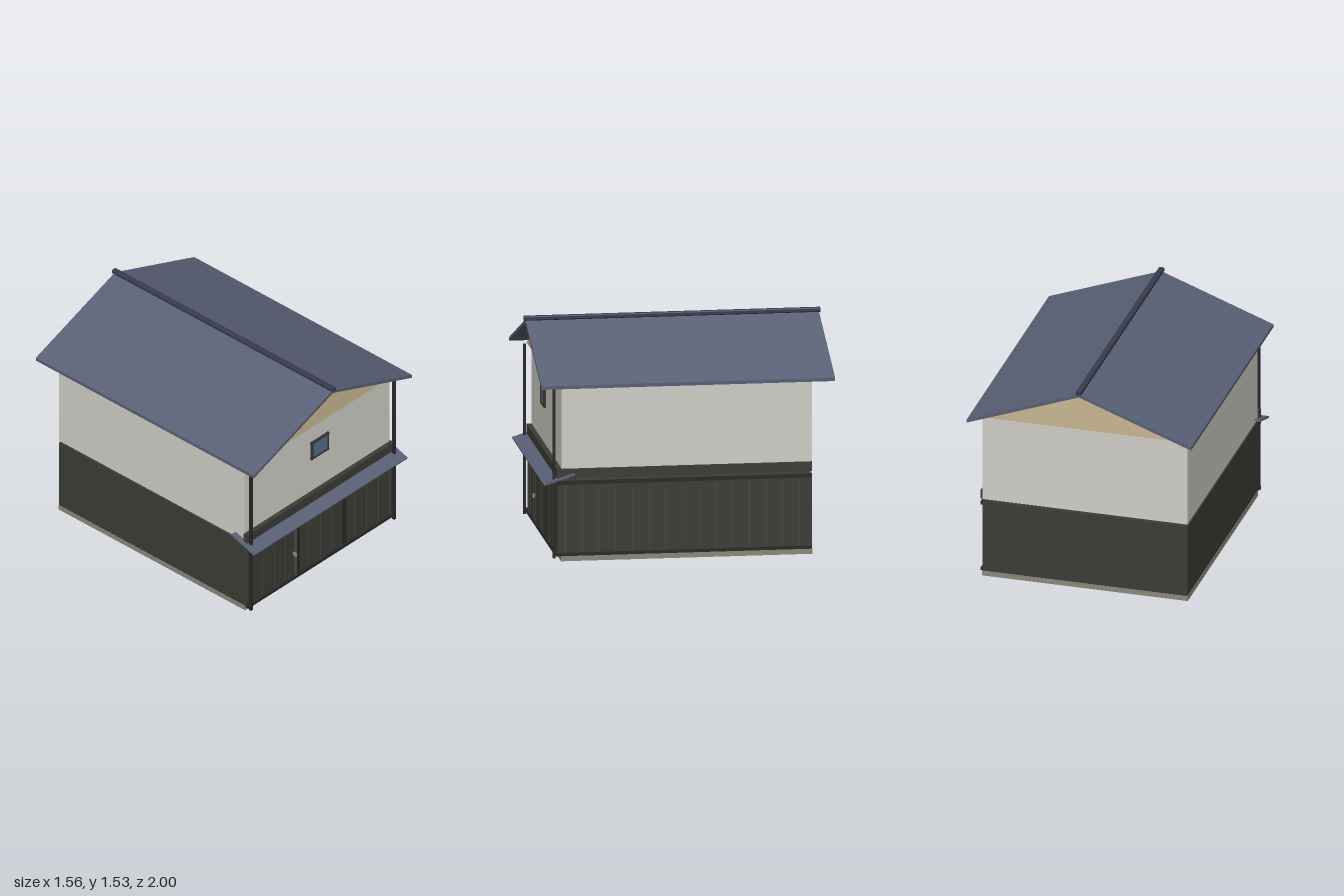
import * as THREE from 'three';

const mat = (color) => new THREE.MeshStandardMaterial({ color });
const M = {
  wall: mat(0xcfcec7), dark: mat(0x3b3c36), trim: mat(0x2a2826), seam: mat(0x57493a),
  roof: mat(0x596074), cap: mat(0x373b4c), gable: mat(0xc9b792), base: mat(0x8b877b),
  glass: mat(0x4d6f92), frame: mat(0x40302c), metal: mat(0x8a8a86),
};

// Box given by its low and high bounds on each axis
function box(parent, name, m, [x0, x1], [y0, y1], [z0, z1]) {
  const mesh = new THREE.Mesh(new THREE.BoxGeometry(x1 - x0, y1 - y0, z1 - z0), m);
  mesh.position.set((x0 + x1) / 2, (y0 + y1) / 2, (z0 + z1) / 2);
  mesh.name = name;
  parent.add(mesh);
  return mesh;
}

// Prism with an outline in x/y, extruded from z0 to z1
function prism(parent, name, m, points, z0, z1) {
  const shape = new THREE.Shape(points.map(([x, y]) => new THREE.Vector2(x, y)));
  const geo = new THREE.ExtrudeGeometry(shape, { depth: z1 - z0, bevelEnabled: false });
  const mesh = new THREE.Mesh(geo, m);
  mesh.position.z = z0;
  mesh.name = name;
  parent.add(mesh);
  return mesh;
}

function group(parent, name) {
  const g = new THREE.Group();
  g.name = name;
  parent.add(g);
  return g;
}

export function createModel() {
  const house = new THREE.Group();
  house.name = 'house';

  // Foundation, two storeys and the gable block
  box(house, 'foundation', M.base, [-0.715, 0.715], [0, 0.035], [-0.845, 0.85]);
  box(house, 'lowerStorey', M.dark, [-0.712, 0.712], [0.035, 0.55], [-0.842, 0.845]);
  box(house, 'upperStorey', M.wall, [-0.712, 0.712], [0.565, 1.19], [-0.842, 0.845]);
  prism(house, 'gable', M.gable, [[-0.72, 1.19], [0.72, 1.19], [0, 1.478]], -0.88, 0.88);

  // Roof: two slopes and a ridge cap with chamfered edges
  const roof = group(house, 'roof');
  const slope = [[0, 1.48], [0.78, 1.19], [0.78, 1.213], [0, 1.503]];
  prism(roof, 'leftSlope', M.roof, slope, -0.99, 0.99);
  prism(roof, 'rightSlope', M.roof, slope.map(([x, y]) => [-x, y]), -0.99, 0.99);
  prism(roof, 'ridgeCap', M.cap, [
    [-0.014, 1.497], [0.014, 1.497], [0.019, 1.503], [0.019, 1.521],
    [0.014, 1.527], [-0.014, 1.527], [-0.019, 1.521], [-0.019, 1.503],
  ], -1, 1);

  // Front boarding with seams, two thick mullions and rails
  const front = group(house, 'frontBoarding');
  box(front, 'frontPanel', M.dark, [-0.712, 0.712], [0.04, 0.54], [0.845, 0.872]);
  for (let i = -6; i <= 6; i++) {
    const x = i * 0.1135 + 0.003;
    if (Math.abs(i) === 2) {
      box(front, 'mullion', M.trim, [x - 0.011, x + 0.011], [0.05, 0.53], [0.87, 0.889]);
    } else {
      box(front, 'frontSeam', M.seam, [x - 0.002, x + 0.002], [0.055, 0.525], [0.87, 0.874]);
    }
  }
  box(front, 'doorEdge', M.seam, [-0.25, -0.245], [0.05, 0.53], [0.87, 0.888]);
  box(front, 'doorHandle', M.metal, [-0.268, -0.26], [0.226, 0.254], [0.87, 0.903]);
  box(front, 'frontBottomRail', M.trim, [-0.725, 0.725], [0.036, 0.057], [0.865, 0.888]);
  box(front, 'frontTopRail', M.trim, [-0.725, 0.725], [0.522, 0.545], [0.865, 0.888]);
  box(front, 'frontBand', M.dark, [-0.725, 0.725], [0.567, 0.632], [0.845, 0.878]);

  // Boarding on the left side
  const side = group(house, 'sideBoarding');
  for (let i = 0; i < 15; i++) {
    const z = 0.82 - i * 0.1128;
    box(side, 'sideSeam', M.seam, [0.71, 0.715], [0.055, 0.525], [z - 0.002, z + 0.002]);
  }
  box(side, 'sideBottomRail', M.trim, [0.705, 0.725], [0.037, 0.057], [-0.842, 0.87]);
  box(side, 'sideTopRail', M.trim, [0.705, 0.725], [0.524, 0.549], [-0.842, 0.87]);
  box(side, 'sideBand', M.dark, [0.705, 0.725], [0.567, 0.632], [-0.842, 0.845]);

  // Corner posts standing free of the front wall
  for (const s of [-1, 1]) {
    const x = s * 0.705;
    box(house, 'cornerPost', M.trim, [x - 0.009, x + 0.009], [0.02, 1.183], [0.886, 0.904]);
  }

  // Sloping awning above the entrance
  const awning = new THREE.Mesh(new THREE.BoxGeometry(1.51, 0.012, 0.22), M.roof);
  awning.position.set(0, 0.565, 0.866);
  awning.rotation.x = 0.31;
  awning.name = 'awning';
  house.add(awning);

  // Window with bars and corner blocks
  const win = group(house, 'window');
  const cx = 0, cy = 0.985, hw = 0.078, hh = 0.063;
  box(win, 'glass', M.glass, [cx - hw, cx + hw], [cy - hh, cy + hh], [0.865, 0.871]);
  for (const s of [-1, 1]) {
    const y = cy + s * hh, x = cx + s * hw;
    box(win, 'frameRail', M.frame, [cx - hw, cx + hw], [y - 0.005, y + 0.005], [0.861, 0.879]);
    box(win, 'frameStile', M.frame, [x - 0.005, x + 0.005], [cy - hh, cy + hh], [0.861, 0.879]);
    for (const t of [-1, 1]) {
      const v = cy + t * hh;
      box(win, 'frameCorner', M.frame, [x - 0.009, x + 0.009], [v - 0.008, v + 0.008], [0.862, 0.878]);
    }
  }
  return house;
}
